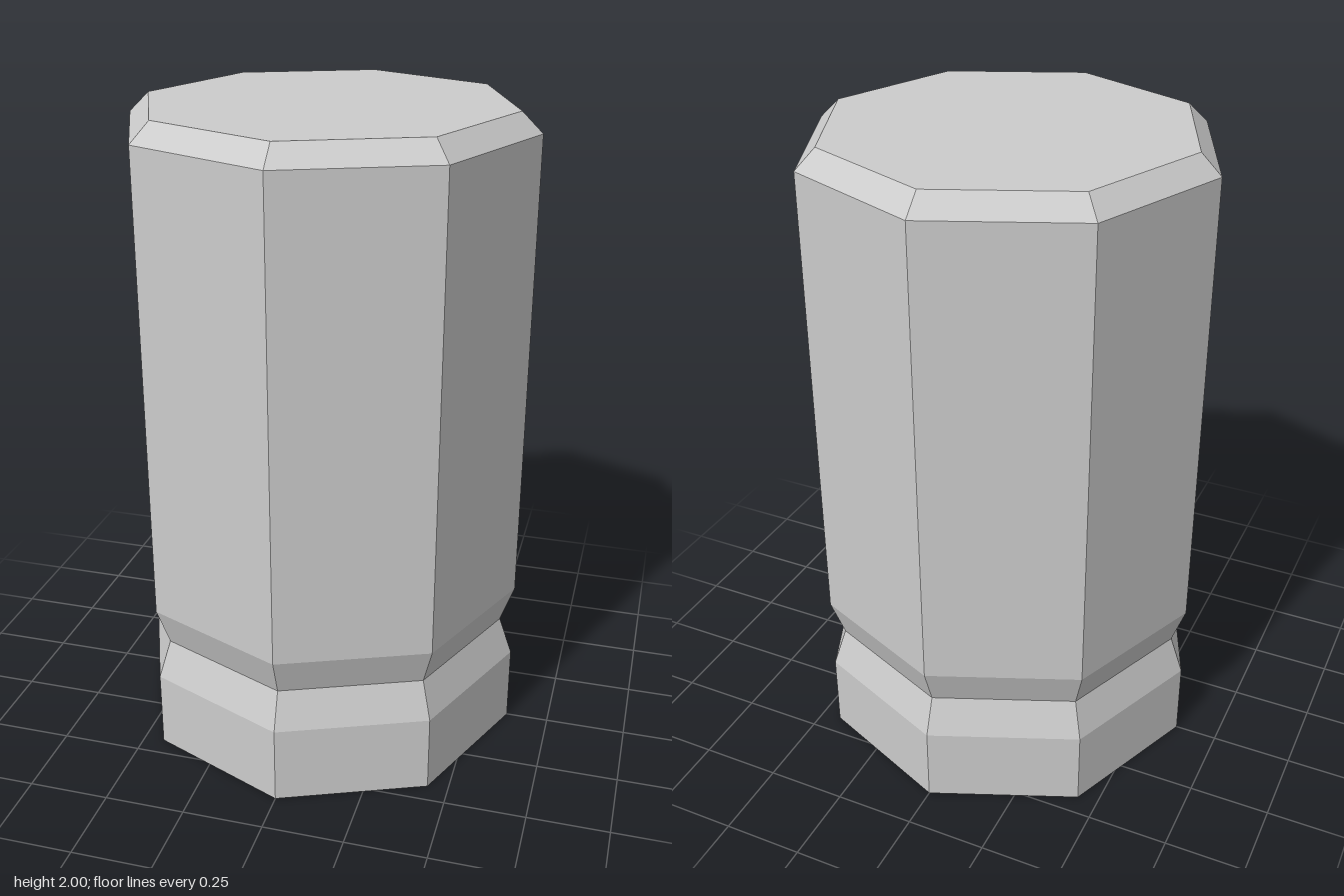
import * as THREE from 'three';

export function createModel() {
  const model = new THREE.Group();
  const material = new THREE.MeshStandardMaterial({ color: 0xcccccc, flatShading: true });
  const sides = 8;

  // Turns an [radius, height] profile, listed bottom to top, into an octagonal solid
  const addTurned = (name, profile) => {
    const points = profile.map(([r, y]) => new THREE.Vector2(r, y));
    const mesh = new THREE.Mesh(new THREE.LatheGeometry(points, sides), material);
    mesh.name = name;
    model.add(mesh);
  };

  const radius = 0.617, neck = 0.575, top = 0.555;

  // Base with its flat underside, tapering up to the groove
  addTurned('base', [[0, 0], [radius, 0], [radius, 0.245], [neck, 0.365]]);

  // Body flaring out of the groove, with a chamfered flat top
  addTurned('body', [[neck, 0.365], [radius, 0.485], [radius, 1.94], [top, 2], [0, 2]]);

  return model;
}
